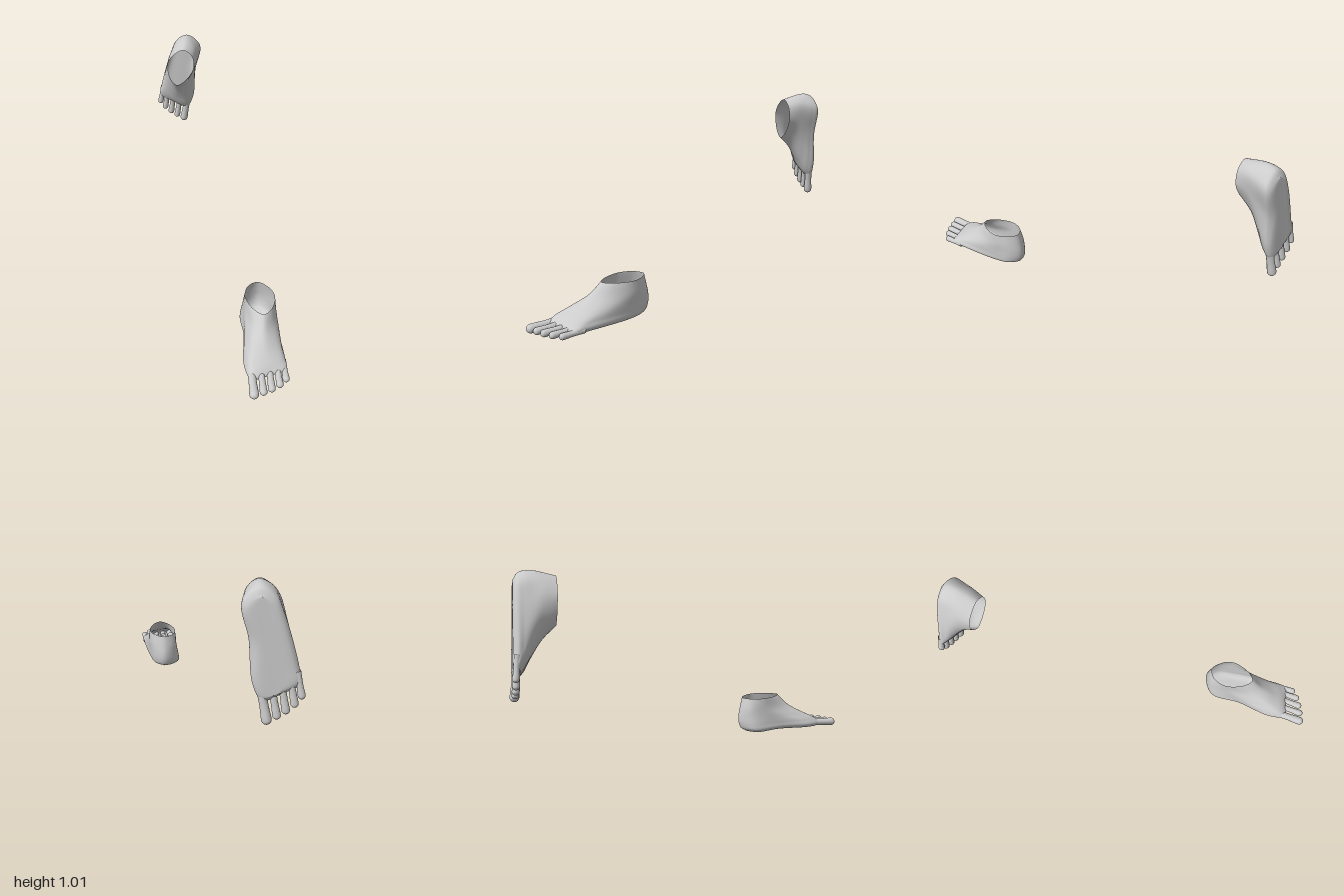
import * as THREE from 'three';

const skin = new THREE.MeshStandardMaterial({ color: 0xcccccc, side: THREE.DoubleSide });

// Horizontal outlines of the foot from ankle opening to sole.
// Each runs heel, outer side, front, inner side as [across, along] pairs.
const RINGS = [
  { y: 0.213, p: [.196, .022, .255, .055, .290, .11, .291, .17, .275, .225, .243, .258, .200, .235, .160, .185, .138, .13, .148, .06] },
  { y: 0.150, p: [.190, .008, .250, .035, .291, .10, .305, .19, .290, .270, .250, .322, .205, .305, .165, .230, .135, .14, .135, .05] },
  { y: 0.100, p: [.188, .000, .250, .030, .291, .11, .325, .25, .315, .340, .265, .400, .205, .405, .165, .310, .140, .19, .125, .06] },
  { y: 0.060, p: [.188, .002, .252, .035, .292, .12, .345, .32, .350, .405, .285, .465, .205, .490, .166, .410, .143, .22, .117, .07] },
  { y: 0.030, p: [.188, .015, .250, .045, .292, .13, .362, .37, .372, .440, .295, .485, .207, .520, .164, .440, .150, .25, .116, .08] },
  { y: 0.012, p: [.190, .045, .238, .070, .278, .14, .340, .36, .356, .425, .290, .470, .210, .500, .180, .430, .180, .25, .135, .10] },
];

// Toes: base and tip as [across, height, along], then radius
const TOES = [
  { name: 'bigToe', a: [.197, .036, .44], b: [.231, .023, .629], r: .023 },
  { name: 'secondToe', a: [.244, .036, .44], b: [.274, .024, .605], r: .0185 },
  { name: 'middleToe', a: [.285, .034, .42], b: [.312, .024, .580], r: .0185 },
  { name: 'fourthToe', a: [.322, .032, .40], b: [.349, .023, .548], r: .018 },
  { name: 'littleToe', a: [.353, .028, .38], b: [.378, .021, .508], r: .017 },
];

const CENTRE = { u: 0.218, l: 0.14 };
const place = (side, u, y, l) => new THREE.Vector3(side * (u - CENTRE.u), y, l - CENTRE.l);

// Smooth shell lofted through the outlines and closed along the sole's midline
function shellGeometry(side) {
  const around = 72, down = 48;
  const curves = RINGS.map(({ y, p }) => {
    const pts = [];
    for (let i = 0; i < p.length; i += 2) pts.push(new THREE.Vector3(p[i], y, p[i + 1]));
    return new THREE.CatmullRomCurve3(pts, true);
  });
  const pos = [], idx = [];
  for (let j = 0; j < around; j++) {
    const col = curves.map(c => c.getPoint(j / around));
    const last = col[col.length - 1];
    col.push(new THREE.Vector3(0.19 + 0.19 * last.z, 0.009, 0.06 + (last.z - 0.06) * 0.94));
    const curve = new THREE.CatmullRomCurve3(col);
    for (let i = 0; i <= down; i++) {
      const q = curve.getPoint(i / down);
      pos.push(...place(side, q.x, q.y, q.z).toArray());
    }
  }
  const at = (i, j) => (j % around) * (down + 1) + i;
  const tri = (a, b, c) => (side > 0 ? idx.push(a, b, c) : idx.push(a, c, b));
  for (let j = 0; j < around; j++) {
    for (let i = 0; i < down; i++) {
      tri(at(i, j), at(i, j + 1), at(i + 1, j));
      tri(at(i, j + 1), at(i + 1, j + 1), at(i + 1, j));
    }
  }
  const g = new THREE.BufferGeometry();
  g.setAttribute('position', new THREE.Float32BufferAttribute(pos, 3));
  g.setIndex(idx);
  g.computeVertexNormals();
  return g;
}

// Turned toe with a slim neck and a rounded pad at the tip
function toeMesh(side, { name, a, b, r }) {
  const base = place(side, ...a), tip = place(side, ...b);
  const axis = tip.clone().sub(base), L = axis.length();
  const profile = new THREE.SplineCurve([
    [.95 * r, 0], [.86 * r, L * .5], [r, L - 1.1 * r], [.78 * r, L - .4 * r], [.42 * r, L - .09 * r], [0, L],
  ].map(([x, y]) => new THREE.Vector2(x, y)));
  const pts = profile.getPoints(24);
  pts.forEach(p => { p.x = Math.max(0, p.x); });
  const mesh = new THREE.Mesh(new THREE.LatheGeometry(pts, 24), skin);
  mesh.name = name;
  mesh.position.copy(base);
  mesh.quaternion.setFromUnitVectors(new THREE.Vector3(0, 1, 0), axis.normalize());
  return mesh;
}

function foot(side, name) {
  const g = new THREE.Group();
  g.name = name;
  const shell = new THREE.Mesh(shellGeometry(side), skin);
  shell.name = 'footAndAnkle';
  g.add(shell, ...TOES.map(t => toeMesh(side, t)));
  return g;
}

export function createModel() {
  const model = new THREE.Group();
  model.name = 'feet';

  // Front foot stands flat on the ground
  const left = foot(1, 'leftFoot');
  left.rotation.y = -0.093;
  left.position.set(0.24, 0, 0.507);

  // Rear foot hangs upright, toes down and sole to the back
  const right = foot(-1, 'rightFoot');
  right.rotation.set(Math.PI / 2 + 0.05, 0, 0.05);
  right.position.set(-0.218, 0.877, -0.985);

  model.add(left, right);
  return model;
}
